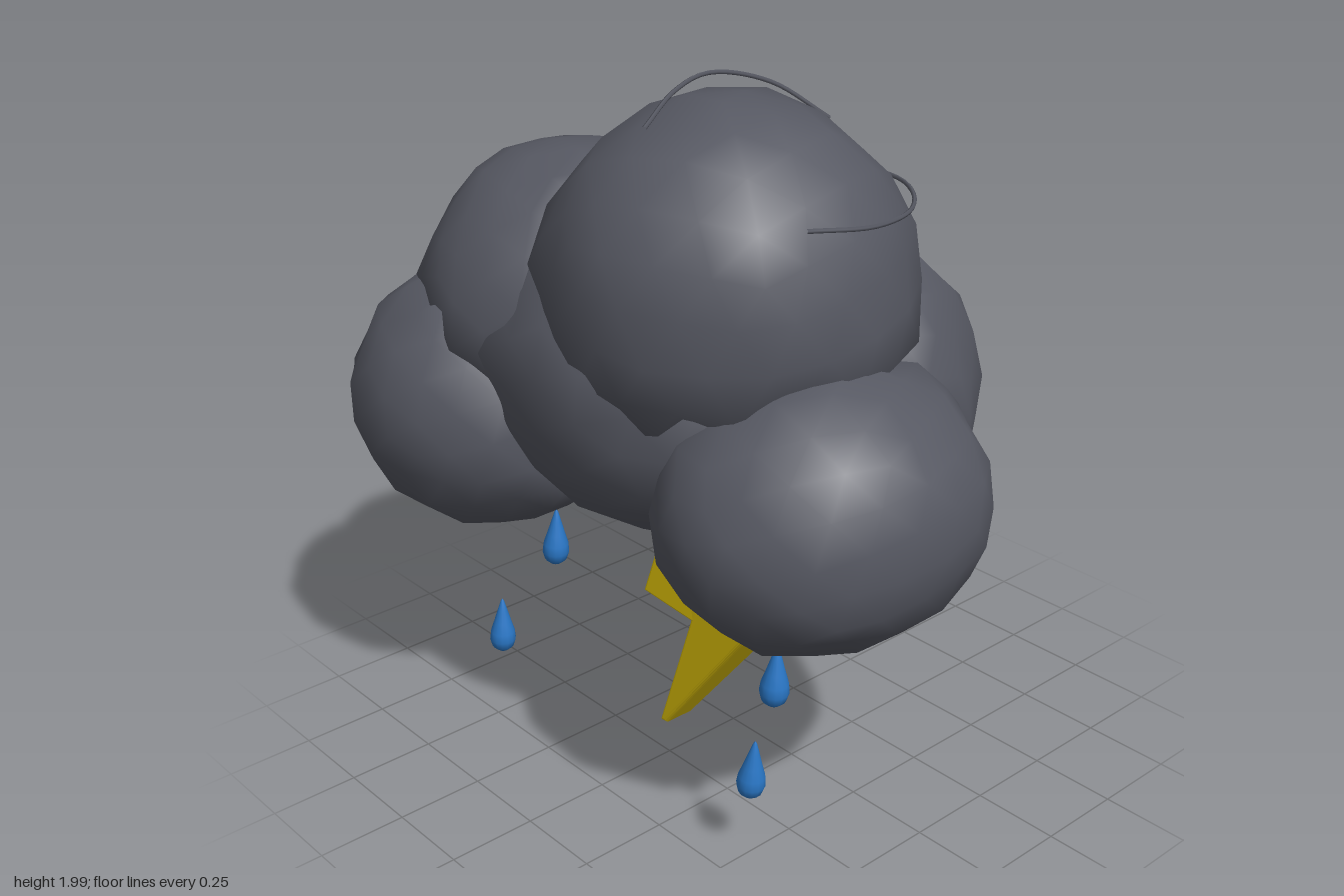
import * as THREE from 'three';
import { mergeVertices } from 'three/addons/utils/BufferGeometryUtils.js';

const cloudGrey = new THREE.MeshStandardMaterial({ color: 0x565862 });
const boltYellow = new THREE.MeshStandardMaterial({ color: 0xeccd08 });
const rainBlue = new THREE.MeshStandardMaterial({ color: 0x2a78c8 });

// Cloud puffs: centre, radii
const PUFFS = {
  crownPuff: [[0.205, 1.515, 0.2], [0.47, 0.45, 0.47]],
  frontPuff: [[0.0, 1.21, 0.21], [0.6, 0.43, 0.46]],
  lowerRightPuff: [[-0.55, 1.02, 0.41], [0.41, 0.375, 0.4]],
  lowerLeftPuff: [[0.57, 1.01, 0.22], [0.395, 0.365, 0.44]],
  upperRightPuff: [[-0.39, 1.345, 0.22], [0.4, 0.4, 0.42]],
  upperBackPuff: [[-0.21, 1.345, -0.21], [0.41, 0.4, 0.4]],
  lowerBackPuff: [[-0.19, 1.03, -0.39], [0.45, 0.36, 0.42]],
  backLeftPuff: [[0.25, 1.13, -0.13], [0.39, 0.43, 0.4]],
};

function add(parent, name, geometry, material) {
  const mesh = new THREE.Mesh(geometry, material);
  mesh.name = name;
  parent.add(mesh);
  return mesh;
}

// Approximate signed distance from a point to a puff
function puffDistance(v, [c, r]) {
  const n = Math.hypot((v.x - c[0]) / r[0], (v.y - c[1]) / r[1], (v.z - c[2]) / r[2]);
  return (n - 1) * Math.min(...r);
}

// Uneven faceted ball whose surface swells softly where it meets its neighbours
function puffGeometry(puff, seed) {
  const [center, radii] = puff;
  const others = Object.values(PUFFS).filter(p => p !== puff);
  let geo = new THREE.IcosahedronGeometry(1, 3);
  geo.deleteAttribute('uv');
  geo.deleteAttribute('normal');
  geo = mergeVertices(geo, 1e-3);
  geo.rotateY(seed * 1.3).rotateX(seed * 0.7);
  const c = new THREE.Vector3(...center);
  const r = new THREE.Vector3(...radii);
  const p = geo.attributes.position;
  const dir = new THREE.Vector3();
  const v = new THREE.Vector3();
  const blend = 0.03;
  for (let i = 0; i < p.count; i++) {
    dir.fromBufferAttribute(p, i);
    v.copy(dir).multiply(r).add(c);
    const near = others.map(o => puffDistance(v, o));
    if (Math.min(...near) > -0.035) {
      const sum = near.reduce((s, d) => s + Math.exp(-d / blend), 1);
      v.addScaledVector(dir, blend * Math.log(sum));
    }
    const h = Math.sin(i * 12.9898 + seed * 78.233) * 43758.5453;
    v.sub(c).multiplyScalar(0.98 + 0.06 * (h - Math.floor(h))).add(c);
    p.setXYZ(i, v.x, v.y, v.z);
  }
  geo.computeVertexNormals();
  return geo;
}

// Thin raised wisp along a curve
function wispGeometry(points) {
  const curve = new THREE.CatmullRomCurve3(points.map(p => new THREE.Vector3(...p)));
  return new THREE.TubeGeometry(curve, 24, 0.006, 5);
}

// Zigzag slab, thinner towards its tip
function boltGeometry() {
  const outline = [
    [-0.015, 0.83], [-0.165, 0.45], [0.04, 0.435], [-0.13, 0.018],
    [-0.122, 0.02], [0.295, 0.525], [0.1, 0.552], [0.215, 0.83],
  ];
  const shape = new THREE.Shape(outline.map(p => new THREE.Vector2(...p)));
  const geo = new THREE.ExtrudeGeometry(shape, {
    depth: 0.13, bevelEnabled: true, bevelThickness: 0.018,
    bevelSize: 0.013, bevelSegments: 3, steps: 1,
  });
  geo.translate(0, 0, -0.065);
  const p = geo.attributes.position;
  for (let i = 0; i < p.count; i++) {
    const t = Math.min(p.getY(i) / 0.55, 1);
    p.setZ(i, p.getZ(i) * (0.65 + 0.37 * t) + 0.113);
  }
  geo.computeVertexNormals();
  return geo;
}

// Teardrop turned around its axis, base at the origin
function dropGeometry() {
  const profile = [
    [0, 0], [0.017, 0.004], [0.032, 0.018], [0.039, 0.042],
    [0.036, 0.068], [0.026, 0.1], [0.014, 0.142], [0.005, 0.172], [0, 0.18],
  ];
  return new THREE.LatheGeometry(profile.map(p => new THREE.Vector2(...p)), 14);
}

export function createModel() {
  const model = new THREE.Group();
  model.name = 'stormCloud';

  // Cloud of overlapping puffs
  const cloud = new THREE.Group();
  cloud.name = 'cloud';
  model.add(cloud);
  Object.entries(PUFFS).forEach(([name, puff], i) => {
    add(cloud, name, puffGeometry(puff, i + 1), cloudGrey);
  });

  // Curved wisps over the crown and along its left side
  add(cloud, 'crownWisp', wispGeometry([
    [0.15, 1.91, 0.42], [0.1, 1.97, 0.28], [0.08, 1.99, 0.15], [0.1, 1.94, -0.04], [0.15, 1.83, -0.2],
  ]), cloudGrey);
  add(cloud, 'sideWisp', wispGeometry([
    [0.6, 1.74, 0.32], [0.625, 1.715, 0.12], [0.56, 1.705, -0.08], [0.4, 1.71, -0.22], [0.2, 1.71, -0.25],
  ]), cloudGrey);

  add(model, 'lightningBolt', boltGeometry(), boltYellow);

  // Raindrops: base position and lean
  const rain = new THREE.Group();
  rain.name = 'rain';
  model.add(rain);
  const drop = dropGeometry();
  [
    [-0.395, 0.5, 0.34, -0.08], [0.59, 0.51, 0.4, -0.08],
    [-0.582, 0.155, 0.415, -0.06], [0.52, 0.205, 0.415, -0.12],
  ].forEach(([x, y, z, lean], i) => {
    const mesh = add(rain, 'raindrop' + (i + 1), drop, rainBlue);
    mesh.position.set(x, y, z);
    mesh.rotation.z = lean;
  });

  return model;
}
